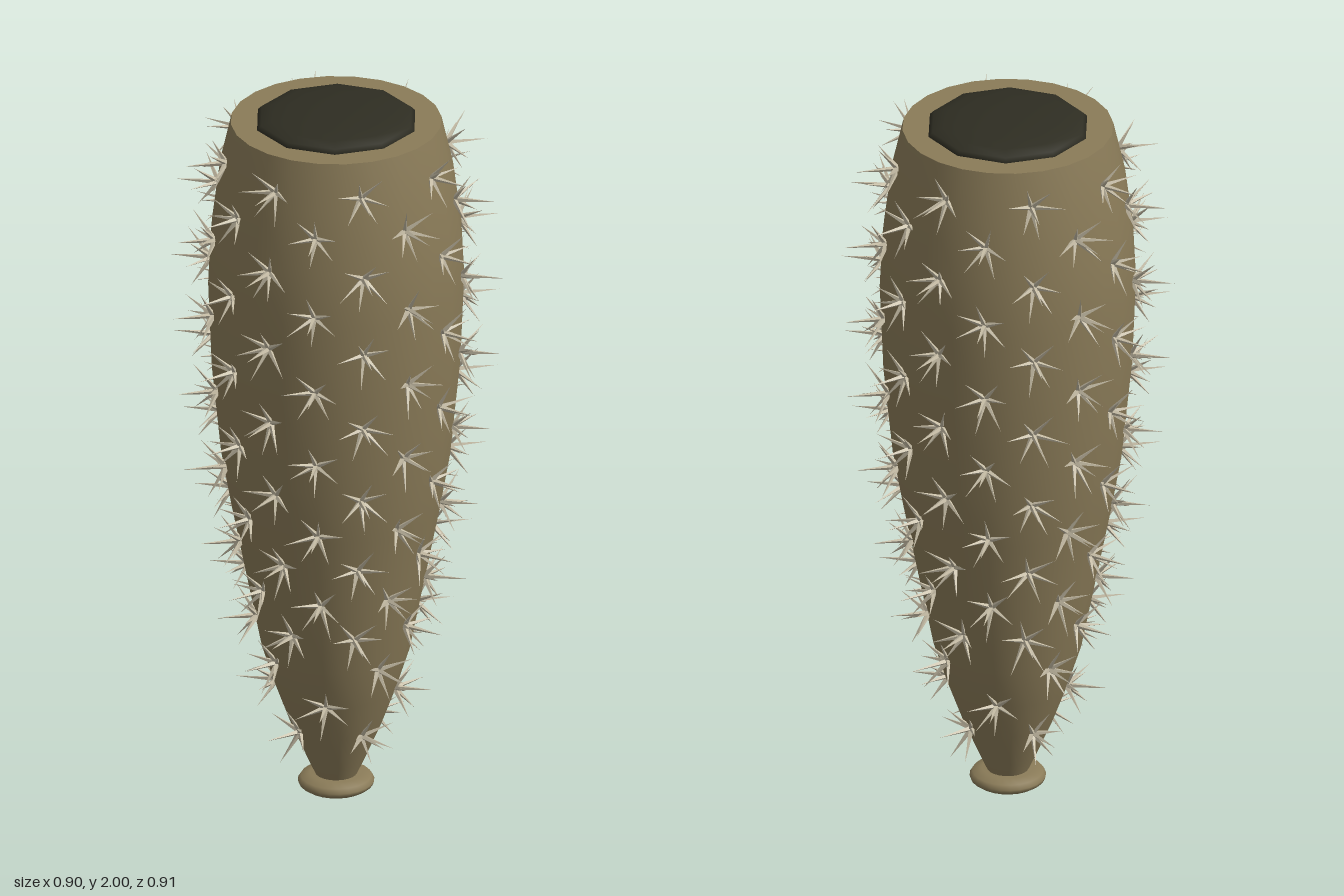
import * as THREE from 'three';
import { mergeGeometries } from 'three/addons/utils/BufferGeometryUtils.js';

const skin = new THREE.MeshStandardMaterial({ name: 'olive skin', color: 0x8a7b58 });
const crown = new THREE.MeshStandardMaterial({ name: 'dark crown', color: 0x2e2d22 });
const bone = new THREE.MeshStandardMaterial({ name: 'pale spine', color: 0xc6bda6, flatShading: true });

// stem radius against height
const PROFILE = [
  [0.052, 0.03], [0.075, 0.08], [0.122, 0.19], [0.162, 0.3], [0.2, 0.42], [0.243, 0.64],
  [0.282, 0.84], [0.31, 1.0], [0.335, 1.25], [0.345, 1.5], [0.337, 1.66], [0.315, 1.83], [0.284, 1.965],
];

function radiusAt(y) {
  for (let i = 1; i < PROFILE.length; i++) {
    const [r0, y0] = PROFILE[i - 1], [r1, y1] = PROFILE[i];
    if (y <= y1) return r0 + (r1 - r0) * (y - y0) / (y1 - y0);
  }
  return PROFILE[PROFILE.length - 1][0];
}

function lathe(points, segments) {
  return new THREE.LatheGeometry(points.map(([r, y]) => new THREE.Vector2(r, y)), segments);
}

function addPart(group, name, geometry, material) {
  const mesh = new THREE.Mesh(geometry, material);
  mesh.name = name;
  group.add(mesh);
  return mesh;
}

let seed = 17;
function jitter(amount) {
  seed = (seed * 16807) % 2147483647;
  return (seed / 2147483647 * 2 - 1) * amount;
}

// one thin cone whose base sits at the origin, pointing along dir
const UP = new THREE.Vector3(0, 1, 0);
function spine(dir, length, base) {
  const g = new THREE.ConeGeometry(0.0085, length, 4, 1, true);
  g.translate(0, length / 2 - 0.005, 0);
  g.applyQuaternion(new THREE.Quaternion().setFromUnitVectors(UP, dir));
  g.translate(base.x, base.y, base.z);
  return g;
}

// a star of splayed spines around one long central spine
function cluster(angle, y) {
  const out = new THREE.Vector3(Math.sin(angle), 0, Math.cos(angle));
  const side = new THREE.Vector3(out.z, 0, -out.x);
  const base = out.clone().multiplyScalar(radiusAt(y) - 0.004).setY(y);
  const spines = [spine(out, 0.118 + jitter(0.008), base)];
  const roll = jitter(Math.PI);
  for (let i = 0; i < 6; i++) {
    const a = roll + i * Math.PI / 3 + jitter(0.25);
    const tilt = 0.98 + jitter(0.15);
    const dir = out.clone().multiplyScalar(Math.cos(tilt))
      .addScaledVector(side, Math.sin(tilt) * Math.cos(a))
      .addScaledVector(UP, Math.sin(tilt) * Math.sin(a)).normalize();
    spines.push(spine(dir, 0.098 + jitter(0.012), base));
  }
  return spines;
}

export function createModel() {
  const group = new THREE.Group();
  group.name = 'cactus';

  // tapering stem with a flat shoulder
  addPart(group, 'stem', lathe(PROFILE, 24), skin);
  const shoulder = addPart(group, 'shoulder', new THREE.CircleGeometry(0.284, 24), skin);
  shoulder.rotation.x = -Math.PI / 2;
  shoulder.position.y = 1.965;

  // small round foot
  addPart(group, 'foot', lathe([[0.086, 0], [0.1, 0.01], [0.103, 0.02], [0.095, 0.032], [0.07, 0.04], [0, 0.042]], 24), skin);
  const sole = addPart(group, 'sole', new THREE.CircleGeometry(0.086, 24), skin);
  sole.rotation.x = Math.PI / 2;

  // shallow ten-sided dome on top
  const dome = addPart(group, 'crown', new THREE.SphereGeometry(0.222, 10, 5, 0, Math.PI * 2, 0, Math.PI / 2), crown);
  dome.scale.y = 0.035 / 0.222;
  dome.rotation.y = Math.PI / 2;
  dome.position.y = 1.965;

  // staggered rows of spine clusters
  const spines = [];
  for (let row = 0; row < 16; row++) {
    const count = row < 3 ? 4 : 8;
    for (let i = 0; i < count; i++) {
      const angle = (i + (row % 2) / 2) * Math.PI * 2 / count;
      spines.push(...cluster(angle, 0.19 + row * 0.112));
    }
  }
  addPart(group, 'spines', mergeGeometries(spines), bone);
  return group;
}
